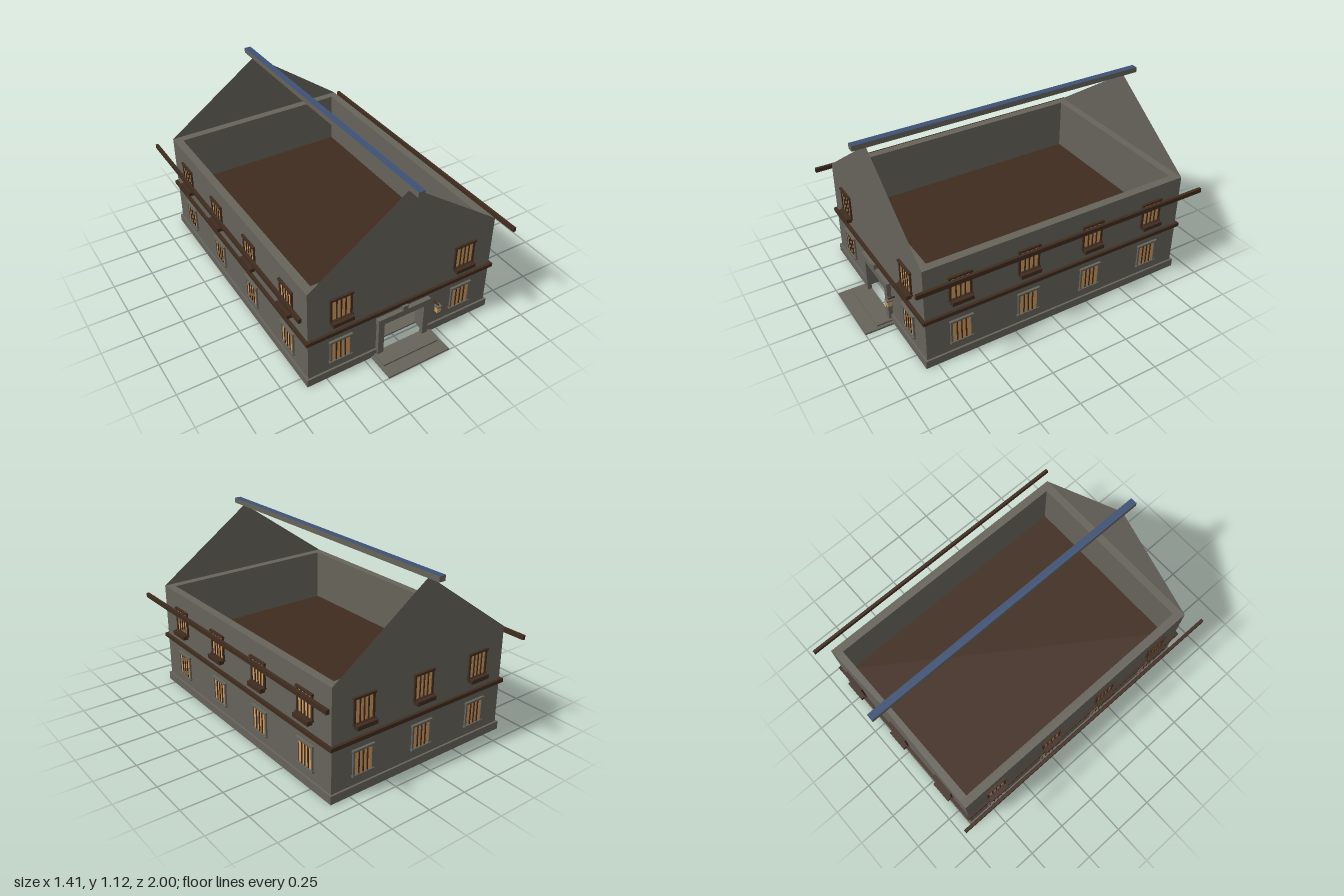
import * as THREE from 'three';

const mat = (name, color) => {
  const m = new THREE.MeshStandardMaterial({ color });
  m.name = name;
  return m;
};

export function createModel() {
  const stone = mat('stone', 0x66635a);
  const gableStone = mat('gable stone', 0x66635a);
  gableStone.side = THREE.DoubleSide;
  const timber = mat('dark timber', 0x402c20);
  const glow = mat('warm glass', 0xd09c5c);
  const slate = mat('blue slate', 0x3e5175);

  const house = new THREE.Group();
  house.name = 'house';

  // Box given by its lower and upper limits
  const box = (parent, name, m, x0, x1, y0, y1, z0, z1) => {
    const mesh = new THREE.Mesh(new THREE.BoxGeometry(x1 - x0, y1 - y0, z1 - z0), m);
    mesh.position.set((x0 + x1) / 2, (y0 + y1) / 2, (z0 + z1) / 2);
    mesh.name = name;
    parent.add(mesh);
    return mesh;
  };

  const W = 0.61, F = 0.81, B = -0.91, T = 0.05, H = 0.66, base = 0.05;
  const door = 0.135;

  // Walls, with a door opening in the front one
  for (const s of [-1, 1]) {
    const [a, b] = s > 0 ? [W - T, W] : [-W, -W + T];
    box(house, 'sideWall', stone, a, b, base, H, B, F);
  }
  box(house, 'backWall', stone, -W + T, W - T, base, H, B, B + T);
  const front = new THREE.Shape([
    [-W + T, base], [-door, base], [-door, 0.24], [door, 0.24],
    [door, base], [W - T, base], [W - T, H], [-W + T, H],
  ].map(([x, y]) => new THREE.Vector2(x, y)));
  const frontWall = new THREE.Mesh(
    new THREE.ExtrudeGeometry(front, { depth: T, bevelEnabled: false }), stone);
  frontWall.position.z = F - T;
  frontWall.name = 'frontWall';
  house.add(frontWall);

  // Floors
  box(house, 'groundFloor', stone, -W + T, W - T, base - 0.01, base, B + T, F - T);
  box(house, 'upperFloor', timber, -W + T, W - T, 0.31, 0.33, B + T, F - T);

  // Thin gables
  const triangle = new THREE.Shape([
    new THREE.Vector2(-W, H), new THREE.Vector2(W, H), new THREE.Vector2(0, 1.09),
  ]);
  for (const z of [B, F]) {
    const gable = new THREE.Mesh(new THREE.ShapeGeometry(triangle), gableStone);
    gable.position.z = z;
    if (z === B) gable.rotation.y = Math.PI;
    gable.name = 'gable';
    house.add(gable);
  }

  // Plinth and timber band running round the walls
  const sides = (name, m, y0, y1, out) => {
    box(house, name, m, W, W + out, y0, y1, B - out, F + out);
    box(house, name, m, -W - out, -W, y0, y1, B - out, F + out);
    box(house, name, m, -W, W, y0, y1, B - out, B);
  };
  sides('plinth', stone, 0, base, 0.012);
  box(house, 'plinth', stone, -W, -door, 0, base, F, F + 0.012);
  box(house, 'plinth', stone, door, W, 0, base, F, F + 0.012);
  sides('floorBand', timber, 0.31, 0.333, 0.017);
  box(house, 'floorBand', timber, -W, W, 0.31, 0.333, F, F + 0.017);

  // Eave beams and ridge, slate on its upper face only
  for (const x of [-0.696, 0.696])
    box(house, 'eaveBeam', timber, x - 0.009, x + 0.009, 0.58, 0.607, -0.99, 0.89);
  box(house, 'ridge', [stone, stone, slate, stone, stone, stone],
    -0.021, 0.021, 1.088, 1.12, -1, 0.895);

  // Barred window facing +z, bottom of the glass at y = 0
  const addWindow = (x, z, turn, upper) => {
    const m = upper ? timber : stone;
    const g = new THREE.Group();
    g.name = upper ? 'upperWindow' : 'lowerWindow';
    box(g, 'glass', glow, -0.06, 0.06, 0, 0.14, 0, 0.004);
    for (const s of [-1, 1])
      box(g, 'jamb', m, s * 0.0625 - 0.006, s * 0.0625 + 0.006, 0, 0.14, 0, 0.01);
    for (const s of [-1, 0, 1])
      box(g, 'bar', timber, s * 0.028 - 0.0035, s * 0.028 + 0.0035, 0, 0.14, 0.003, 0.009);
    box(g, 'lintel', m, -0.073, 0.073, 0.138, 0.15, 0, 0.015);
    box(g, 'sill', m, -0.073, 0.073, -0.008, 0.002, 0, 0.015);
    if (upper) box(g, 'planter', timber, -0.066, 0.066, -0.026, -0.001, 0.005, 0.038);
    g.position.set(x, upper ? 0.415 : 0.113, z);
    g.rotation.y = turn;
    house.add(g);
  };
  for (const upper of [false, true]) {
    for (const x of [-0.408, 0.408]) addWindow(x, F, 0, upper);
    for (const x of [-0.408, 0, 0.408]) addWindow(x, B, Math.PI, upper);
    for (const z of [0.595, 0.165, -0.265, -0.695]) {
      addWindow(W, z, Math.PI / 2, upper);
      addWindow(-W, z, -Math.PI / 2, upper);
    }
  }

  // Door surround, keystone and steps
  for (const s of [-1, 1])
    box(house, 'doorJamb', stone, s * 0.154 - 0.019, s * 0.154 + 0.019, 0.02, 0.24, F, 0.835);
  box(house, 'doorLintel', stone, -0.177, 0.177, 0.24, 0.28, F, 0.838);
  box(house, 'keystone', stone, -0.017, 0.017, 0.27, 0.312, F, 0.842);
  box(house, 'upperStep', stone, -0.187, 0.187, 0.01, 0.02, F, 0.92);
  box(house, 'lowerStep', stone, -0.207, 0.207, 0, 0.01, F + 0.012, 1);

  // Lantern on a wall bracket
  const lantern = new THREE.Group();
  lantern.name = 'lantern';
  box(lantern, 'bracket', timber, -0.004, 0.004, 0.213, 0.221, F, 0.852);
  box(lantern, 'lanternCap', stone, -0.017, 0.017, 0.206, 0.214, 0.832, 0.866);
  box(lantern, 'lanternGlass', glow, -0.013, 0.013, 0.17, 0.206, 0.836, 0.862);
  box(lantern, 'lanternBase', stone, -0.014, 0.014, 0.166, 0.17, 0.835, 0.863);
  lantern.position.x = 0.224;
  house.add(lantern);

  return house;
}
